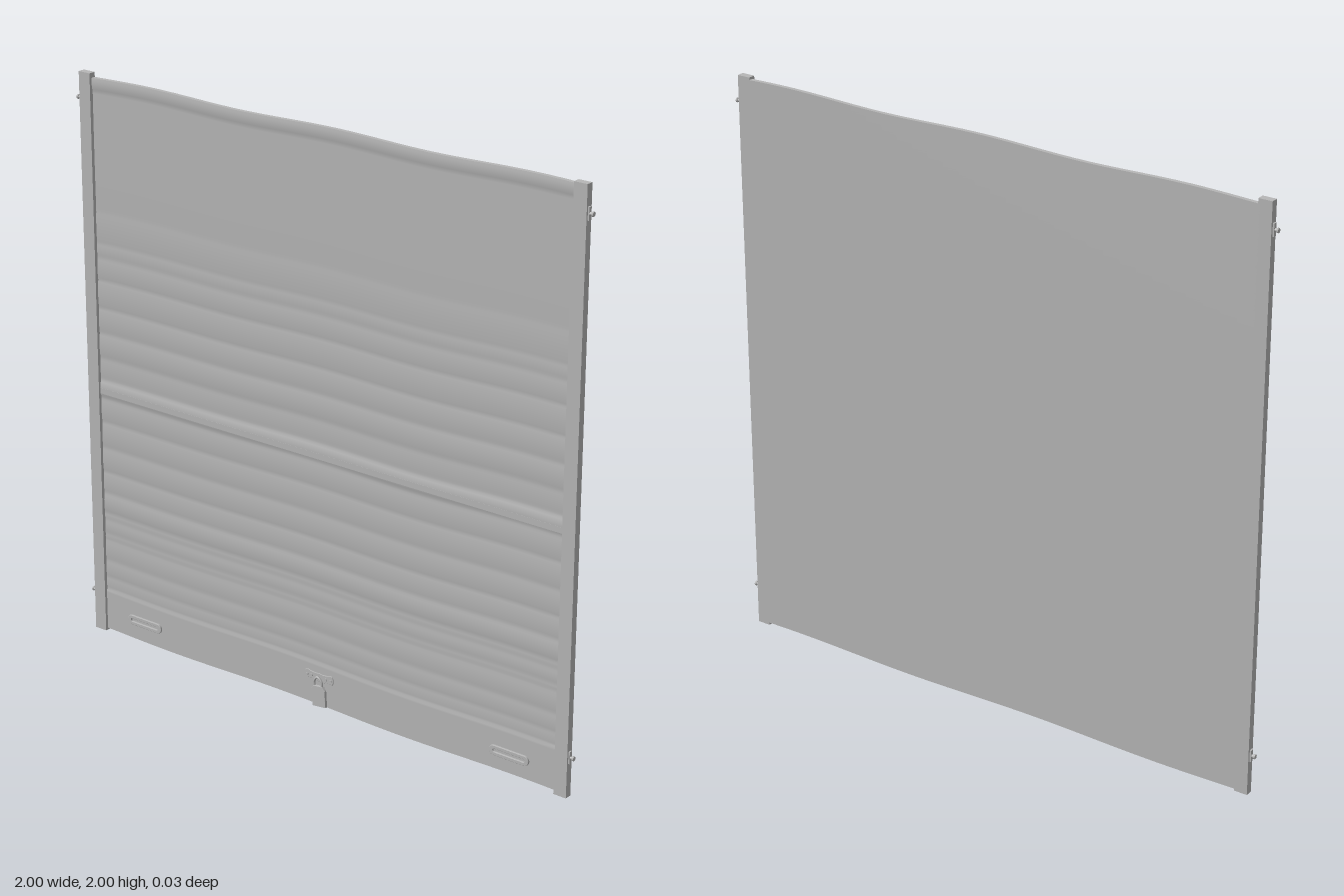
import * as THREE from 'three';

const steel = new THREE.MeshStandardMaterial({ color: 0xb6b6b6 });
steel.name = 'shutter steel';

function add(parent, name, geometry, x = 0, y = 0, z = 0) {
  const mesh = new THREE.Mesh(geometry, steel);
  mesh.name = name;
  mesh.position.set(x, y, z);
  parent.add(mesh);
  return mesh;
}

// Slat seams and how far each slat bulges above its seam: [y, bulge]
const SEAMS = [
  [0.15, 0.0012], [0.2, 0.002], [0.265, 0.0025], [0.345, 0.0012], [0.365, 0.002],
  [0.42, 0.001], [0.445, 0.0035], [0.52, 0.0025], [0.6, 0.003], [0.69, 0.003],
  [0.785, 0.003], [0.875, 0.006], [0.94, 0.002], [1.02, 0.0035], [1.11, 0.003],
  [1.2, 0.003], [1.3, 0.0025], [1.38, 0.0015], [1.43, 0.002], [1.54, 0.0008],
  [1.955, 0.004], [2.01, 0],
];

function slatDepth(y) {
  for (let i = 0; i < SEAMS.length - 1; i++) {
    const [a, bulge] = SEAMS[i], b = SEAMS[i + 1][0];
    if (y >= a && y < b) return -0.001 + bulge * Math.sin(Math.PI * (y - a) / (b - a)) ** 0.8;
  }
  return 0.002;
}

const topEdge = x => 1.988 + 0.004 * Math.sin(8.5 * x + 1.2) + 0.003 * x;
const bottomEdge = x => 0.011 + 0.004 * Math.sin(6.5 * x + 2.6);

// Box whose rows follow the slat section and whose ends follow the wavy edges
function curtainGeometry() {
  const g = new THREE.BoxGeometry(1.88, 1, 1, 32, 260, 1);
  const p = g.attributes.position;
  for (let i = 0; i < p.count; i++) {
    const x = p.getX(i), t = p.getY(i) + 0.5;
    const y = THREE.MathUtils.lerp(bottomEdge(x), topEdge(x), t);
    p.setXYZ(i, x, y, p.getZ(i) > 0 ? slatDepth(2 * t) : -0.013);
  }
  g.computeVertexNormals();
  return g;
}

function plate(shape, depth, bevel = 0.001) {
  return new THREE.ExtrudeGeometry(shape, {
    depth, bevelEnabled: bevel > 0, bevelSize: bevel, bevelThickness: bevel, bevelSegments: 2, curveSegments: 10,
  });
}

// Rounded bar outline, used for the grips
function capsule(path, halfWidth, r) {
  const c = halfWidth - r;
  path.moveTo(-c, -r);
  path.lineTo(c, -r);
  path.absarc(c, 0, r, -Math.PI / 2, Math.PI / 2, false);
  path.lineTo(-c, r);
  path.absarc(-c, 0, r, Math.PI / 2, Math.PI * 1.5, false);
  return path;
}

function createLock() {
  const lock = new THREE.Group();
  lock.name = 'lock';
  // Winged hasp plate with two bolt heads per side
  const s = new THREE.Shape();
  s.moveTo(-0.056, 0.1);
  s.quadraticCurveTo(-0.062, 0.13, -0.048, 0.132);
  s.quadraticCurveTo(-0.02, 0.122, 0, 0.128);
  s.quadraticCurveTo(0.02, 0.122, 0.048, 0.132);
  s.quadraticCurveTo(0.062, 0.13, 0.056, 0.1);
  s.quadraticCurveTo(0.03, 0.108, 0.022, 0.1);
  s.lineTo(-0.022, 0.1);
  s.quadraticCurveTo(-0.03, 0.108, -0.056, 0.1);
  add(lock, 'haspPlate', plate(s, 0.003), 0, 0, 0.001);
  for (const x of [-0.048, -0.03, 0.03, 0.048]) {
    add(lock, 'haspBolt', new THREE.CylinderGeometry(0.005, 0.005, 0.004, 10), x, 0.114, 0.006).rotation.x = Math.PI / 2;
  }
  // Padlock hangs slightly askew
  const padlock = new THREE.Group();
  padlock.name = 'padlock';
  padlock.position.set(0.003, 0.05, 0.004);
  padlock.rotation.z = 0.1;
  const body = new THREE.Shape();
  body.moveTo(-0.026, -0.038);
  body.lineTo(0.026, -0.038);
  body.lineTo(0.028, 0.02);
  body.lineTo(0.018, 0.034);
  body.lineTo(-0.018, 0.034);
  body.lineTo(-0.028, 0.02);
  add(padlock, 'padlockBody', plate(body, 0.008));
  const arch = new THREE.CatmullRomCurve3(
    [[-0.015, 0.03], [-0.015, 0.05], [0, 0.065], [0.015, 0.05], [0.015, 0.03]].map(([x, y]) => new THREE.Vector3(x, y, 0.004)));
  add(padlock, 'shackle', new THREE.TubeGeometry(arch, 16, 0.004, 8));
  lock.add(padlock);
  return lock;
}

export function createModel() {
  const shutter = new THREE.Group();
  shutter.name = 'rollerShutter';

  add(shutter, 'slatCurtain', curtainGeometry());
  // Projecting strip along the mid joint
  add(shutter, 'middleStrip', new THREE.BoxGeometry(1.868, 0.02, 0.003), 0, 0.9, 0.004);

  for (const side of [-1, 1]) {
    add(shutter, 'guideRail', new THREE.BoxGeometry(0.047, 1.995, 0.025), side * 0.9585, 1.0025, -0.0005);

    // Anchor bolts on the outer rail faces
    for (const y of [0.145, 1.91]) {
      const bolt = new THREE.Group();
      bolt.name = 'anchorBolt';
      bolt.position.set(side * 0.982, y, 0);
      add(bolt, 'boltPlate', new THREE.BoxGeometry(0.006, 0.042, 0.012), side * 0.002);
      add(bolt, 'boltShank', new THREE.CylinderGeometry(0.005, 0.005, 0.014, 10), side * 0.006).rotation.z = Math.PI / 2;
      add(bolt, 'boltHead', new THREE.CylinderGeometry(0.008, 0.008, 0.006, 6), side * 0.015).rotation.z = Math.PI / 2;
      shutter.add(bolt);
    }

    // Lifting grip: rounded loop on the bottom bar
    const grip = capsule(new THREE.Shape(), 0.074, 0.016);
    grip.holes.push(capsule(new THREE.Path(), 0.062, 0.007));
    add(shutter, 'liftGrip', plate(grip, 0.005, 0.0015), side * 0.76, 0.08, 0.002);
  }

  shutter.add(createLock());
  return shutter;
}
